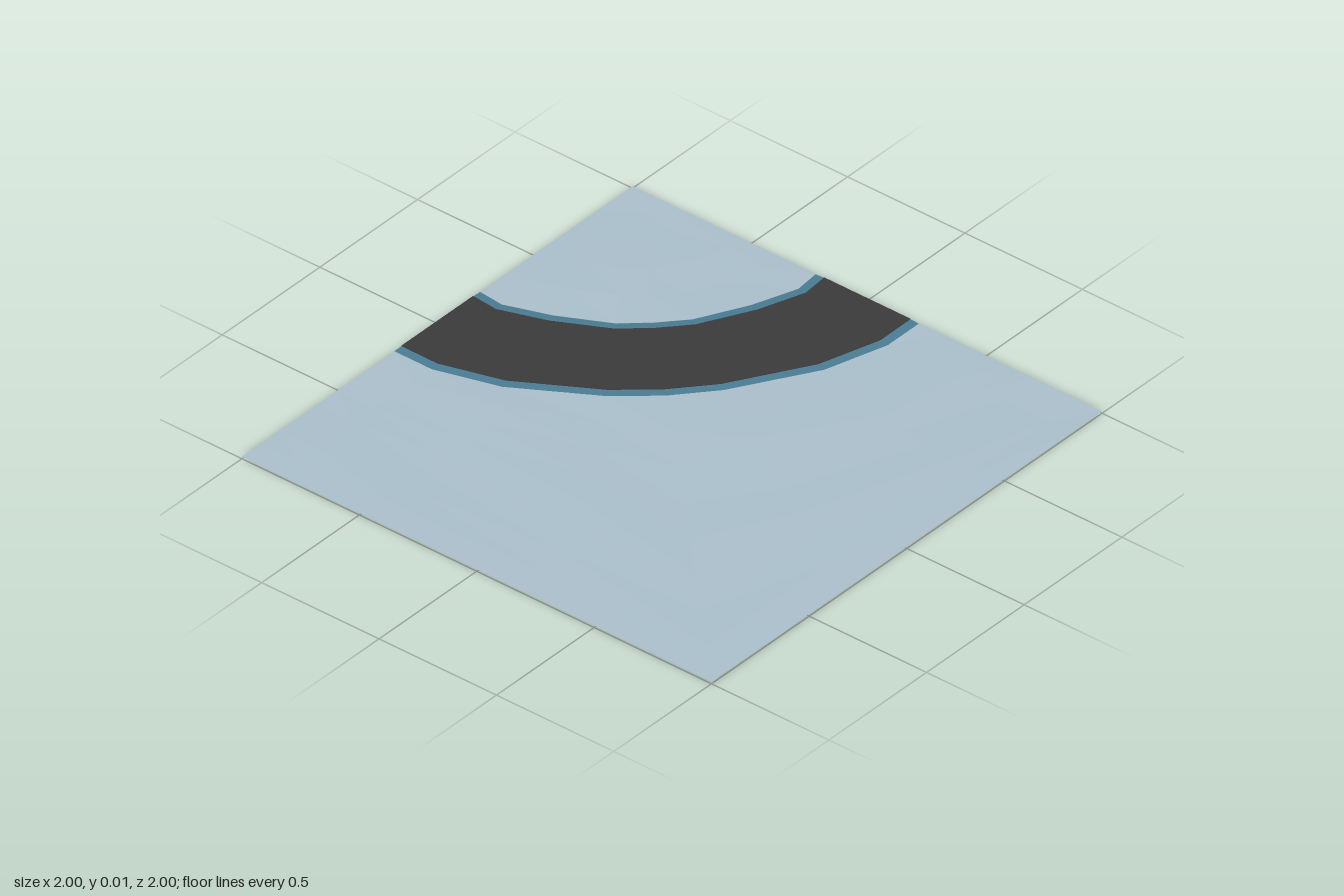
import * as THREE from 'three';

// Road edges as [outer x, z, inner x, z] and the tile border beyond, up to the middle of the bend
const half = [
  { outer: [-0.22, -1], inner: [0.22, -1], border: [-1, -1] },
  { outer: [-0.22, -0.84], inner: [0.21, -0.9], border: [-1, -0.84] },
  { outer: [-0.15, -0.6], inner: [0.27, -0.73], border: [-1, -0.4] },
  { outer: [0.03, -0.3], inner: [0.365, -0.545], border: [-1, 0.3] },
  { outer: [0.155, -0.155], inner: [0.45, -0.45], border: [-1, 1] },
];
// The bend is symmetric about the tile's diagonal
const flip = ([x, z]) => [-z, -x];
const stations = [
  ...half,
  ...half.slice(0, 4).reverse().map((s) => ({
    outer: flip(s.outer), inner: flip(s.inner), border: flip(s.border),
  })),
];

const mix = (a, b, t) => [a[0] + (b[0] - a[0]) * t, a[1] + (b[1] - a[1]) * t];

// Skins a grid of points, row by row
function loft(rows) {
  const cols = rows[0].length;
  const index = [];
  for (let r = 0; r < rows.length - 1; r++) {
    for (let c = 0; c < cols - 1; c++) {
      const a = r * cols + c;
      const b = a + cols;
      index.push(a, b, a + 1, a + 1, b, b + 1);
    }
  }
  const geometry = new THREE.BufferGeometry();
  geometry.setAttribute('position', new THREE.Float32BufferAttribute(rows.flat(2), 3));
  geometry.setIndex(index);
  geometry.computeVertexNormals();
  return geometry;
}

// Gentle snow drifts that fade out at the tile border
function groundPoint([x, z]) {
  const fade = Math.min(1, 4 * (1 - Math.max(Math.abs(x), Math.abs(z))));
  const drift = Math.sin(x * 9 + z * 4) * 0.6 + Math.sin(z * 11 - x * 5) * 0.4;
  return [x, 0.008 + fade * (0.002 + 0.004 * drift), z];
}

function ground(from, to, steps) {
  return loft(stations.map((s) => Array.from({ length: steps + 1 }, (_, i) => {
    const end = (key) => (key === 'corner' ? [1, -1] : s[key]);
    const p = mix(end(from), end(to), i / steps);
    const q = groundPoint(p);
    // Keep the snow level where it meets the road
    if ((i === 0 && from === 'inner') || (i === steps && to === 'outer')) q[1] = 0.008;
    return q;
  })));
}

// Closed slab following the road; section holds [fraction across, height]
function slab(section) {
  const rows = stations.map((s) => [...section, section[0]].map(([t, y]) => {
    const [x, z] = mix(s.outer, s.inner, t);
    return [x, y, z];
  }));
  // Collapsed end rows make the caps
  const cap = (row) => {
    const n = section.length;
    const mid = [0, 1, 2].map((k) => row.slice(0, n).reduce((sum, p) => sum + p[k], 0) / n);
    return row.map(() => mid);
  };
  return loft([cap(rows[0]), ...rows, cap(rows[rows.length - 1])]);
}

export function createModel() {
  const material = (name, color, side = THREE.FrontSide) => {
    const m = new THREE.MeshStandardMaterial({ color, flatShading: true, side });
    m.name = name;
    return m;
  };
  const snow = material('snow', 0xabc0cc, THREE.DoubleSide);
  const kerb = material('kerbBlue', 0x4a7c93);
  const asphalt = material('asphalt', 0x3b3b3b);

  const model = new THREE.Group();
  model.name = 'roadBendTile';
  const add = (name, geometry, mat) => {
    const mesh = new THREE.Mesh(geometry, mat);
    mesh.name = name;
    model.add(mesh);
  };

  // Snow on both sides of the bend
  add('outerGround', ground('border', 'outer', 8), snow);
  add('innerGround', ground('inner', 'corner', 5), snow);

  // Road bed with the asphalt surface on top
  add('roadBed', slab([[0, 0.007], [0.08, 0.009], [0.92, 0.009], [1, 0.007], [1, 0], [0, 0]]), kerb);
  add('roadSurface', slab([[0.083, 0.011], [0.917, 0.011], [0.917, 0.008], [0.083, 0.008]]), asphalt);
  return model;
}
